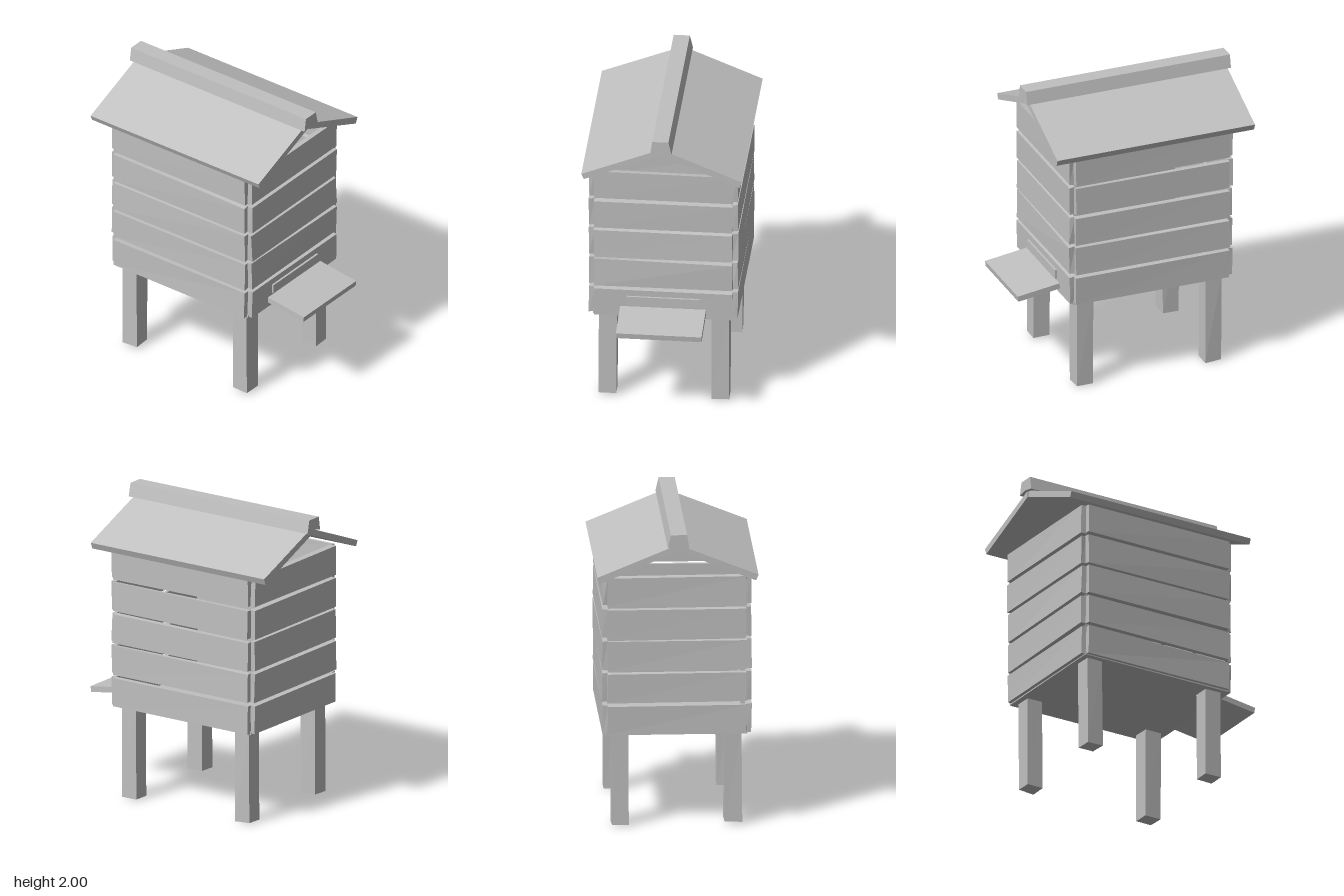
import * as THREE from 'three';

const wood = new THREE.MeshStandardMaterial({ color: 0xc0c0c0 });
wood.name = 'plain wood grey';

// small seeded generator for the hand-cut irregularity of the boards
let seed = 7;
const rand = () => {
  seed = (seed * 16807) % 2147483647;
  return seed / 2147483647 - 0.5;
};

// box given by its limits, with each corner nudged a little
function plank(name, [x0, x1], [y0, y1], [z0, z1], wobble = 0.008) {
  const geo = new THREE.BoxGeometry(x1 - x0, y1 - y0, z1 - z0).toNonIndexed();
  geo.translate((x0 + x1) / 2, (y0 + y1) / 2, (z0 + z1) / 2);
  const nudges = Array.from({ length: 8 }, () => [rand(), rand(), rand()]);
  const p = geo.attributes.position;
  for (let i = 0; i < p.count; i++) {
    const x = p.getX(i), y = p.getY(i), z = p.getZ(i);
    const n = nudges[(x > (x0 + x1) / 2) + 2 * (y > (y0 + y1) / 2) + 4 * (z > (z0 + z1) / 2)];
    p.setXYZ(i, x + n[0] * wobble, y + n[1] * wobble, z + n[2] * wobble);
  }
  geo.computeVertexNormals();
  const mesh = new THREE.Mesh(geo, wood);
  mesh.name = name;
  return mesh;
}

// outline in the x-y plane, drawn out from z0 to z1
function prism(name, points, z0, z1) {
  const shape = new THREE.Shape(points.map(([x, y]) => new THREE.Vector2(x, y)));
  const geo = new THREE.ExtrudeGeometry(shape, { depth: z1 - z0, bevelEnabled: false });
  geo.translate(0, 0, z0);
  const mesh = new THREE.Mesh(geo, wood);
  mesh.name = name;
  return mesh;
}

export function createModel() {
  const hive = new THREE.Group();
  hive.name = 'beehive';

  // five open tiers of boards, notched at the corners, with gaps between
  for (let i = 0; i < 5; i++) {
    const y = [0.624 + i * 0.2155, 0.818 + i * 0.2155];
    const tier = new THREE.Group();
    tier.name = 'tier' + (i + 1);
    tier.add(
      plank('frontBoard', [-0.452, 0.447], y, [0.46, 0.498]),
      plank('backBoard', [-0.452, 0.447], y, [-0.641, -0.603]),
      plank('leftBoard', [0.442, 0.481], y, [-0.608, 0.465]),
      plank('rightBoard', [-0.487, -0.448], y, [-0.608, 0.465]),
    );
    hive.add(tier);
  }

  // floor under the lowest tier
  hive.add(plank('floor', [-0.46, 0.455], [0.618, 0.64], [-0.615, 0.472], 0));

  // legs
  for (const [side, x, y0] of [['Right', [-0.425, -0.311], 0.017], ['Left', [0.306, 0.419], 0.004]]) {
    hive.add(
      plank('front' + side + 'Leg', x, [y0, 0.62], [0.325, 0.438]),
      plank('back' + side + 'Leg', x, [y0, 0.62], [-0.576, -0.463]),
    );
  }

  // entrance block and sloping landing board
  hive.add(plank('entrance', [-0.24, 0.235], [0.712, 0.774], [0.49, 0.513], 0));
  const landing = plank('landingBoard', [-0.281, 0.276], [-0.019, 0.019], [-0.155, 0.155], 0);
  landing.position.set(0, 0.657, 0.634);
  landing.rotation.x = 0.14;
  hive.add(landing);

  // two roof panels meeting at the ridge
  hive.add(
    prism('rightRoofPanel', [[0, 1.885], [0, 1.93], [-0.523, 1.721], [-0.507, 1.683]], -0.762, 0.606),
    prism('leftRoofPanel', [[0, 1.885], [0.505, 1.675], [0.521, 1.717], [0, 1.93]], -0.768, 0.612),
  );

  // ridge cap, slightly wider at the foot
  hive.add(prism('ridgeCap',
    [[-0.073, 1.91], [0, 1.925], [0.066, 1.913], [0.046, 2], [-0.059, 2]], -0.787, 0.637));

  return hive;
}
